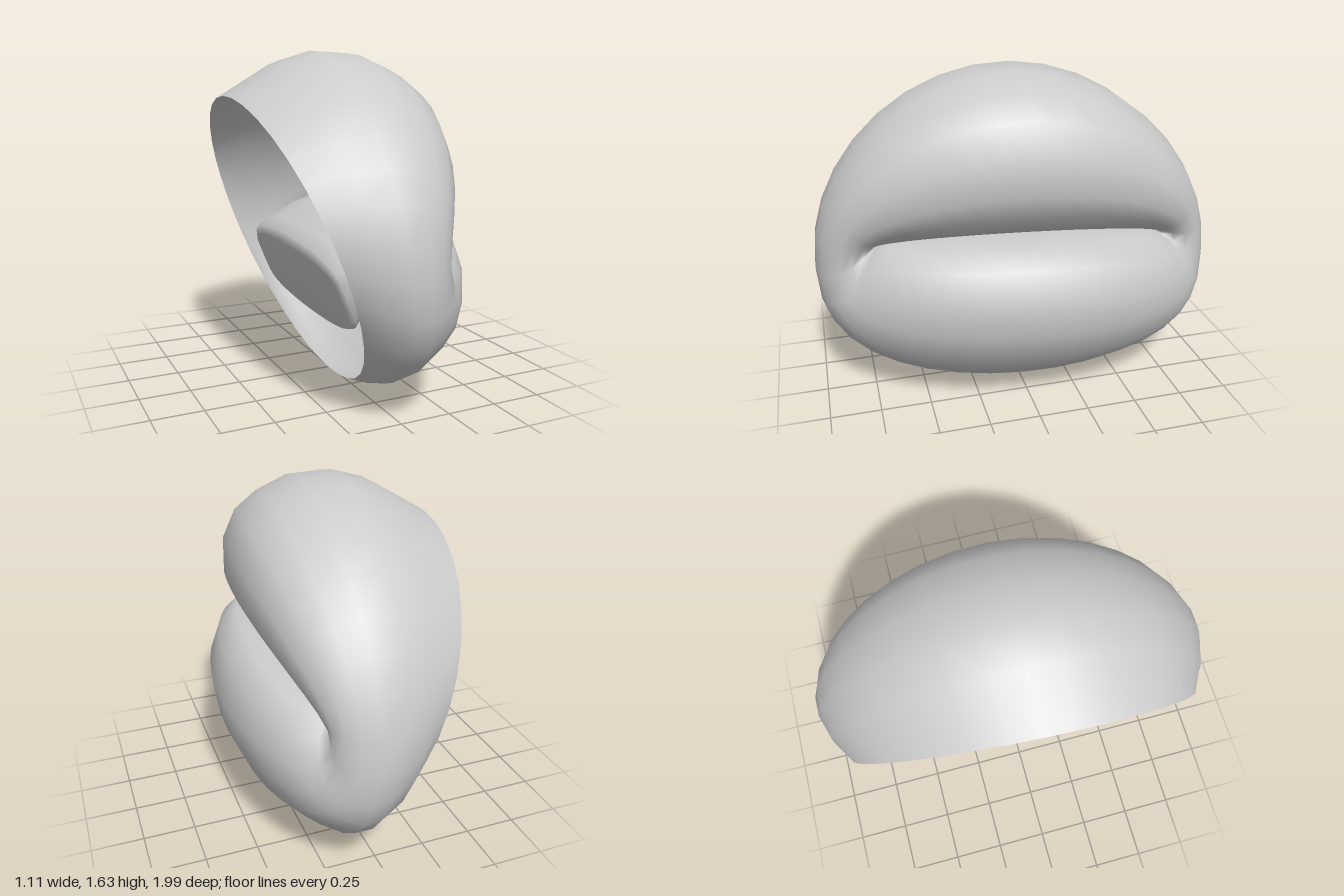
import * as THREE from 'three';

const SIDES = 36;

// Each row: top [x, y], side [x, y, z], bottom [x, y] of one closed ring
const skinRows = [
  [[-0.55, 1.42], [-0.28, 0.71, 0.87], [-0.01, 0]],
  [[-0.28, 1.58], [-0.17, 0.69, 0.95], [0.03, 0]],
  [[-0.11, 1.63], [-0.04, 0.67, 0.995], [0.08, 0.005]],
  [[0.08, 1.62], [0.05, 0.66, 0.995], [0.18, 0.05]],
  [[0.25, 1.55], [0.12, 0.66, 0.97], [0.33, 0.17]],
  [[0.37, 1.46], [0.17, 0.67, 0.93], [0.46, 0.3]],
  [[0.44, 1.31], [0.2, 0.69, 0.885], [0.53, 0.46]],
  [[0.445, 1.13], [0.205, 0.72, 0.835], [0.55, 0.63]],
  [[0.37, 1.0], [0.19, 0.76, 0.78], [0.49, 0.79]],
  [[0.28, 0.9], [0.15, 0.79, 0.73], [0.39, 0.87]],
  [[0.15, 0.87], [0.11, 0.81, 0.69], [0.16, 0.865]],
];

const pocketRows = [
  skinRows[10],
  [[0, 0.84], [0.02, 0.74, 0.68], [0.06, 0.66]],
  [[-0.18, 0.78], [-0.12, 0.6, 0.66], [-0.04, 0.42]],
  [[-0.25, 0.74], [-0.17, 0.53, 0.64], [-0.08, 0.33]],
  [[-0.255, 0.69], [-0.18, 0.51, 0.6], [-0.11, 0.33]],
  [[-0.18, 0.51], [-0.18, 0.51, 0], [-0.18, 0.51]],
];

// Smooth curve through bottom (s = -1), side (s = 0) and top (s = 1)
const blend = (t, m, b, s) => m + (t - b) / 2 * s + ((t + b) / 2 - m) * s * s;

// Rings run from round (power 1) to flatter along top and bottom (power < 1)
function loft(rows, startPower, endPower) {
  const pos = [], index = [];
  rows.forEach(([top, side, bottom], k) => {
    const ramp = THREE.MathUtils.smoothstep(k, 0, rows.length - 1);
    const power = THREE.MathUtils.lerp(startPower, endPower, ramp);
    for (let i = 0; i < SIDES; i++) {
      const a = i / SIDES * Math.PI * 2;
      const s = Math.sign(Math.sin(a)) * Math.abs(Math.sin(a)) ** power;
      const z = side[2] * Math.cos(a);
      // Slight skew of the whole form
      pos.push(blend(top[0], side[0], bottom[0], s) - 0.06 * z,
        blend(top[1], side[1], bottom[1], s) + 0.03 * z, z);
      if (k < rows.length - 1) {
        const j = (i + 1) % SIDES, r = k * SIDES, n = r + SIDES;
        index.push(r + i, n + i, n + j, r + i, n + j, r + j);
      }
    }
  });
  const g = new THREE.BufferGeometry();
  g.setAttribute('position', new THREE.Float32BufferAttribute(pos, 3));
  g.setIndex(index);
  g.computeVertexNormals();
  return g;
}

export function createModel() {
  const group = new THREE.Group();
  const material = new THREE.MeshStandardMaterial({ color: 0xcccccc, side: THREE.DoubleSide });
  const add = (name, geometry) => {
    const mesh = new THREE.Mesh(geometry, material);
    mesh.name = name;
    group.add(mesh);
  };
  // Outer skin from the open back rim over both lips to the crease
  add('lipSkin', loft(skinRows, 1, 0.55));
  // Flat pocket running from the crease back toward the rim
  add('mouthPocket', loft(pocketRows, 0.55, 0.4));
  return group;
}
